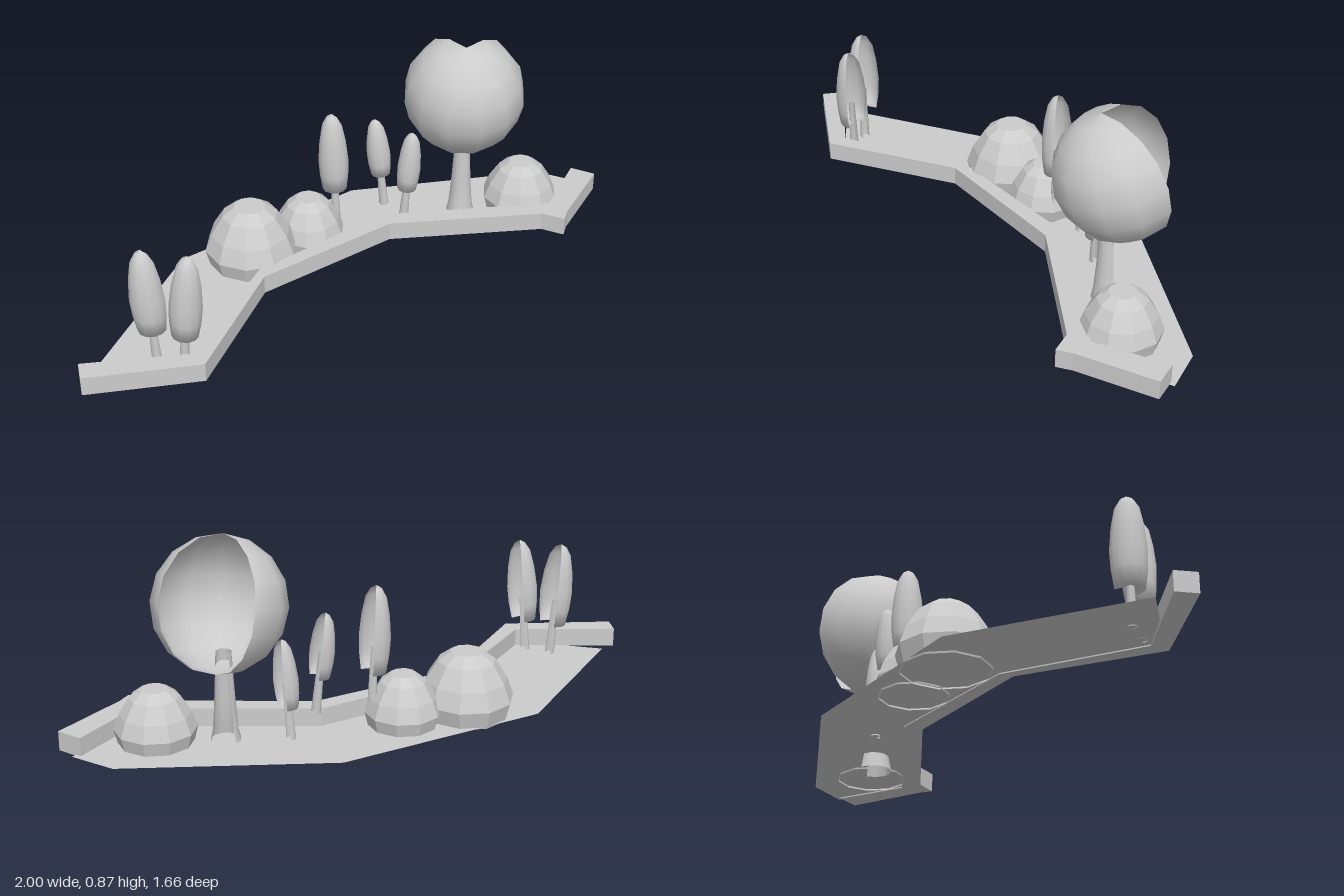
import * as THREE from 'three';

const smooth = new THREE.MeshStandardMaterial({ color: 0xcccccc, side: THREE.DoubleSide });
const flat = new THREE.MeshStandardMaterial({ color: 0xcccccc, side: THREE.DoubleSide, flatShading: true });

const mesh = (name, geometry, material) => {
  const m = new THREE.Mesh(geometry, material);
  m.name = name;
  return m;
};

// Plan outline from [x, z] pairs; extrusion is later turned upright
const plan = (points) => new THREE.Shape(points.map(([x, z]) => new THREE.Vector2(x, -z)));

// Turned shell with a wedge left open, centred on the angle "open" (0 faces +z)
function shell(profile, sides, open, gap) {
  const points = profile.map(([r, y]) => new THREE.Vector2(r, y));
  return new THREE.LatheGeometry(points, sides, open + gap / 2, Math.PI * 2 - gap);
}

// Faceted dome bush, widest a little above its base
function bush(x, z, radius, top) {
  const base = 0.055, h = top - base;
  const profile = [[0.9, 0], [1, 0.28], [0.86, 0.56], [0.6, 0.86], [0.34, 1], [0, 1]];
  const points = profile.map(([r, y]) => new THREE.Vector2(r * radius, y * h));
  const m = mesh('bush', new THREE.LatheGeometry(points, 10), flat);
  m.position.set(x, base, z);
  return m;
}

// Slim tree: leaning hollow foliage on a thin trunk
function slimTree({ x, z, top, bottom, foot, radius, lean }) {
  const tree = new THREE.Group();
  tree.name = 'slimTree';
  const h = top - bottom, open = Math.PI * 0.75;
  const profile = [[0.2, 0.03], [0.8, 0], [0.95, 0.2], [1, 0.4], [0.88, 0.65], [0.66, 0.86], [0.35, 0.96], [0, 1]];
  const foliage = mesh('foliage', shell(profile.map(([r, y]) => [r * radius, y * h]), 8, open, 1.9), smooth);
  foliage.position.y = bottom - foot;
  const trunkTop = bottom - foot + 0.1;
  const trunk = mesh('trunk', shell([[0.02, 0], [0.012, trunkTop]], 6, open, 1.9), smooth);
  tree.add(foliage, trunk);
  tree.position.set(x, foot, z);
  tree.rotation.z = -lean;
  return tree;
}

// Large tree with a round crown, open at the back
function roundTree() {
  const tree = new THREE.Group();
  tree.name = 'roundTree';
  const arc = [];
  for (let i = 0; i <= 8; i++) {
    const a = (i / 8) * Math.PI;
    arc.push([0.255 * Math.sin(a), -0.26 * Math.cos(a)]);
  }
  const crown = mesh('crown', shell(arc, 9, Math.PI, Math.PI / 2), smooth);
  crown.position.set(0, 0.617, -0.01);
  crown.rotation.x = 0.3;
  const trunk = mesh('trunk', shell([[0.072, 0], [0.05, 0.1], [0.042, 0.2], [0.03, 0.42]], 8, Math.PI, 1.9), smooth);
  trunk.position.z = 0.02;
  tree.add(crown, trunk);
  tree.position.set(0.41, 0, -0.53);
  return tree;
}

export function createModel() {
  const model = new THREE.Group();
  model.name = 'plantedIsland';

  // Kerb along the front and both ends
  const outer = [[-0.975, 0.825], [-0.53, 0.717], [-0.37, 0.15], [0.115, -0.262],
    [0.757, -0.374], [0.85, -0.337], [0.865, -0.4], [1, -0.71]];
  const inner = [[0.9, -0.754], [0.79, -0.46], [0.08, -0.33], [-0.395, 0.1], [-0.58, 0.655], [-1, 0.74]];
  const kerbGeometry = new THREE.ExtrudeGeometry(plan([...outer, ...inner]), { depth: 0.078, bevelEnabled: false });
  const kerb = mesh('kerb', kerbGeometry.rotateX(-Math.PI / 2), flat);
  kerb.position.y = 0.057;
  model.add(kerb);

  // Thin planting bed behind the kerb
  const bed = plan([[-0.955, 0.68], [-0.78, 0.69], [-0.58, 0.655], [-0.395, 0.1], [0.08, -0.33],
    [0.79, -0.46], [0.93, -0.765], [0.75, -0.834], [-0.067, -0.63], [-0.735, -0.06]]);
  const ground = mesh('ground', new THREE.ShapeGeometry(bed).rotateX(-Math.PI / 2), flat);
  ground.position.y = 0.062;
  model.add(ground);

  // Bushes: x, z, radius, top
  for (const b of [[-0.45, -0.085, 0.19, 0.318], [-0.225, -0.24, 0.15, 0.27], [0.666, -0.57, 0.16, 0.275]]) {
    model.add(bush(...b));
  }

  // Trees
  for (const t of [
    { x: -0.733, z: 0.595, top: 0.555, bottom: 0.2, foot: 0.06, radius: 0.069, lean: -0.06 },
    { x: -0.625, z: 0.625, top: 0.555, bottom: 0.2, foot: 0.06, radius: 0.065, lean: 0.08 },
    { x: -0.112, z: -0.29, top: 0.64, bottom: 0.29, foot: 0.13, radius: 0.063, lean: -0.03 },
    { x: 0.085, z: -0.4, top: 0.56, bottom: 0.3, foot: 0.15, radius: 0.05, lean: -0.1 },
    { x: 0.168, z: -0.46, top: 0.465, bottom: 0.19, foot: 0.055, radius: 0.05, lean: 0.08 },
  ]) model.add(slimTree(t));
  model.add(roundTree());

  return model;
}
